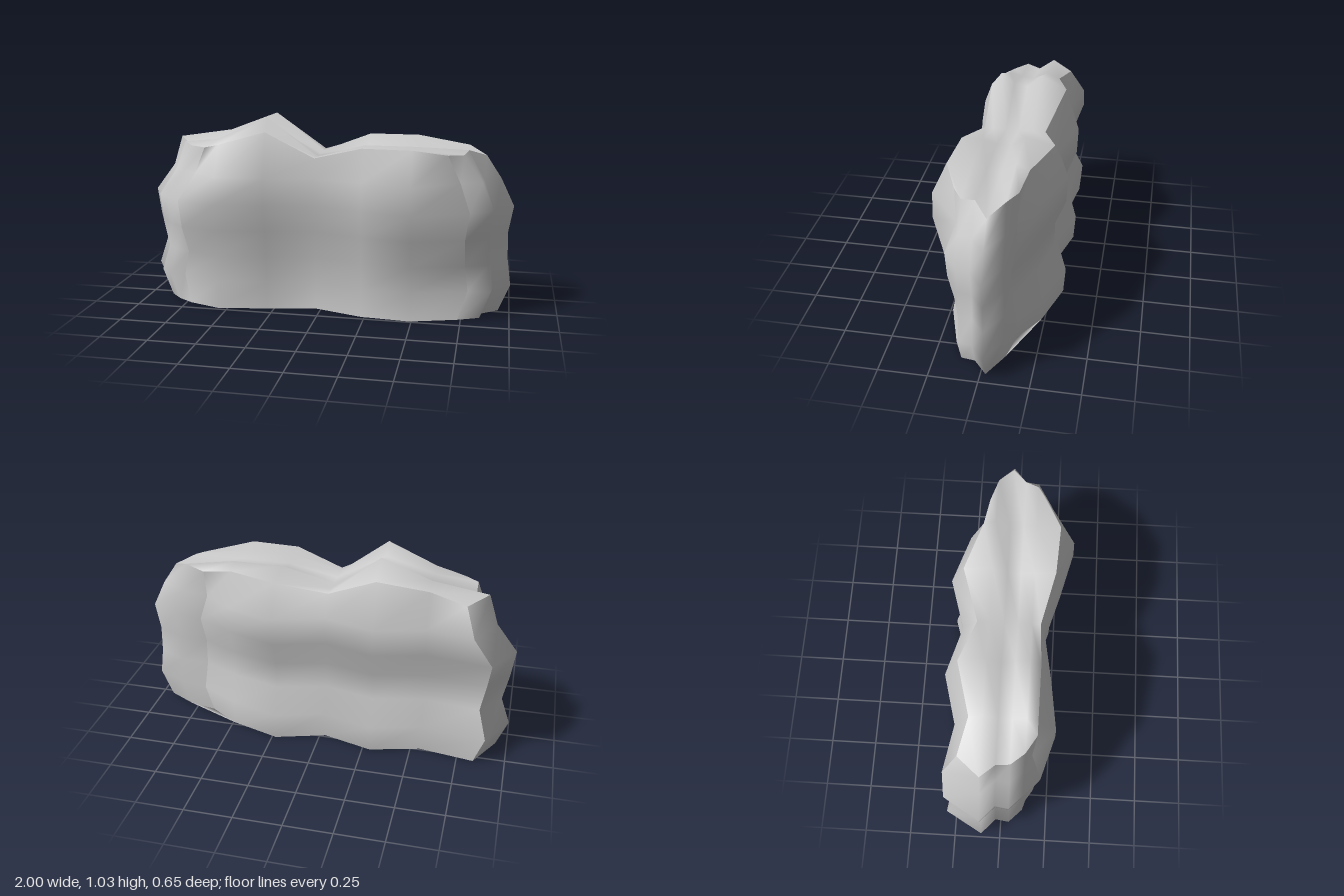
import * as THREE from 'three';

// Columns run left to right along x, rows run front to back along z.
const colX = [0, -0.55, -0.29, -0.03, 0.23, 0.49, 0];
const rowZ = [0, 0.115, 0.045, -0.025, -0.1, 0];
const LAST_COL = colX.length - 1, LAST_ROW = rowZ.length - 1;

// How strongly the front of each column follows the swell of the levels
const frontDepth = [1, 0.5, 0.7, 1, 0.6, 1, 1];

// Widest outline of the body, and the smaller rim at the top
const body = {
  front: [0.2, 0.265, 0.23, 0.185, 0.26, 0.325, 0.195],
  back: [-0.295, -0.25, -0.32, -0.245, -0.325, -0.24, -0.135],
  endL: [-0.77, -0.86, -0.93, -0.92, -1, -0.89],
  endR: [0.78, 0.9, 0.91, 1, 0.85, 0.69],
};
const rim = {
  front: [0.17, 0.17, 0.17, 0.16, 0.225, 0.24, 0.165],
  back: [-0.215, -0.17, -0.24, -0.165, -0.25, -0.165, -0.14],
  endL: [-0.62, -0.71, -0.77, -0.77, -0.84, -0.74],
  endR: [0.66, 0.74, 0.76, 0.85, 0.76, 0.65],
};

// Levels: height, then swell of the front, back, left end, right end and front corners
const levels = [
  [0, 0.74, 0.97, 0.94, 0.94, 0.85],
  [0.145, 0.65, 1, 1, 1, 0.62],
  [0.29, 0.73, 0.8, 0.95, 0.98, 0.8],
  [0.435, 0.83, 0.8, 0.98, 0.975, 0.98],
  [0.58, 1, 0.97, 1, 1, 1],
  [0.725, 0.985, 0.985, 0.89, 0.93, 0.75],
];
const TOP = levels.length;

// Heights of the uneven top, one list per column, front to back
const topY = [
  [0.87, 0.87, 0.88, 0.855, 0.885, 0.865],
  [0.885, 0.915, 0.9, 0.89, 0.93, 0.9],
  [0.96, 1.03, 0.975, 0.96, 1.03, 0.96],
  [0.83, 0.83, 0.825, 0.825, 0.83, 0.83],
  [0.9, 0.9, 0.88, 0.875, 0.93, 0.9],
  [0.9, 0.9, 0.88, 0.87, 0.93, 0.9],
  [0.868, 0.865, 0.88, 0.845, 0.885, 0.87],
];

// Place of the grid point in column c, row r and level k
function point(c, r, k) {
  const top = k === TOP;
  const ring = top ? rim : body;
  const [y, front, back, left, right, corner] = top ? [topY[c][r], 1, 1, 1, 1, 1] : levels[k];
  const atEnd = c === 0 || c === LAST_COL;
  let x = colX[c], z = rowZ[r];
  if (c === 0) x = ring.endL[r] * left;
  if (c === LAST_COL) x = ring.endR[r] * right;
  if (r === 0) z = ring.front[c] * (1 - (1 - (atEnd ? corner : front)) * frontDepth[c]);
  if (r === LAST_ROW) z = ring.back[c] * back;
  return [x, y, z];
}

// A gridded block with every point moved; each of its six sides is shaded smoothly
function rockGeometry() {
  const geometry = new THREE.BoxGeometry(LAST_COL, TOP, LAST_ROW, LAST_COL, TOP, LAST_ROW);
  const pos = geometry.attributes.position;
  for (let i = 0; i < pos.count; i++) {
    const c = Math.round(pos.getX(i) + LAST_COL / 2);
    const r = Math.round(LAST_ROW / 2 - pos.getZ(i));
    const k = Math.round(pos.getY(i) + TOP / 2);
    pos.setXYZ(i, ...point(c, r, k));
  }
  geometry.computeVertexNormals();
  return geometry;
}

export function createModel() {
  const group = new THREE.Group();
  group.name = 'rock';
  const slab = new THREE.Mesh(rockGeometry(), new THREE.MeshStandardMaterial({ color: 0xcccccc }));
  slab.name = 'rockSlab';
  group.add(slab);
  return group;
}
